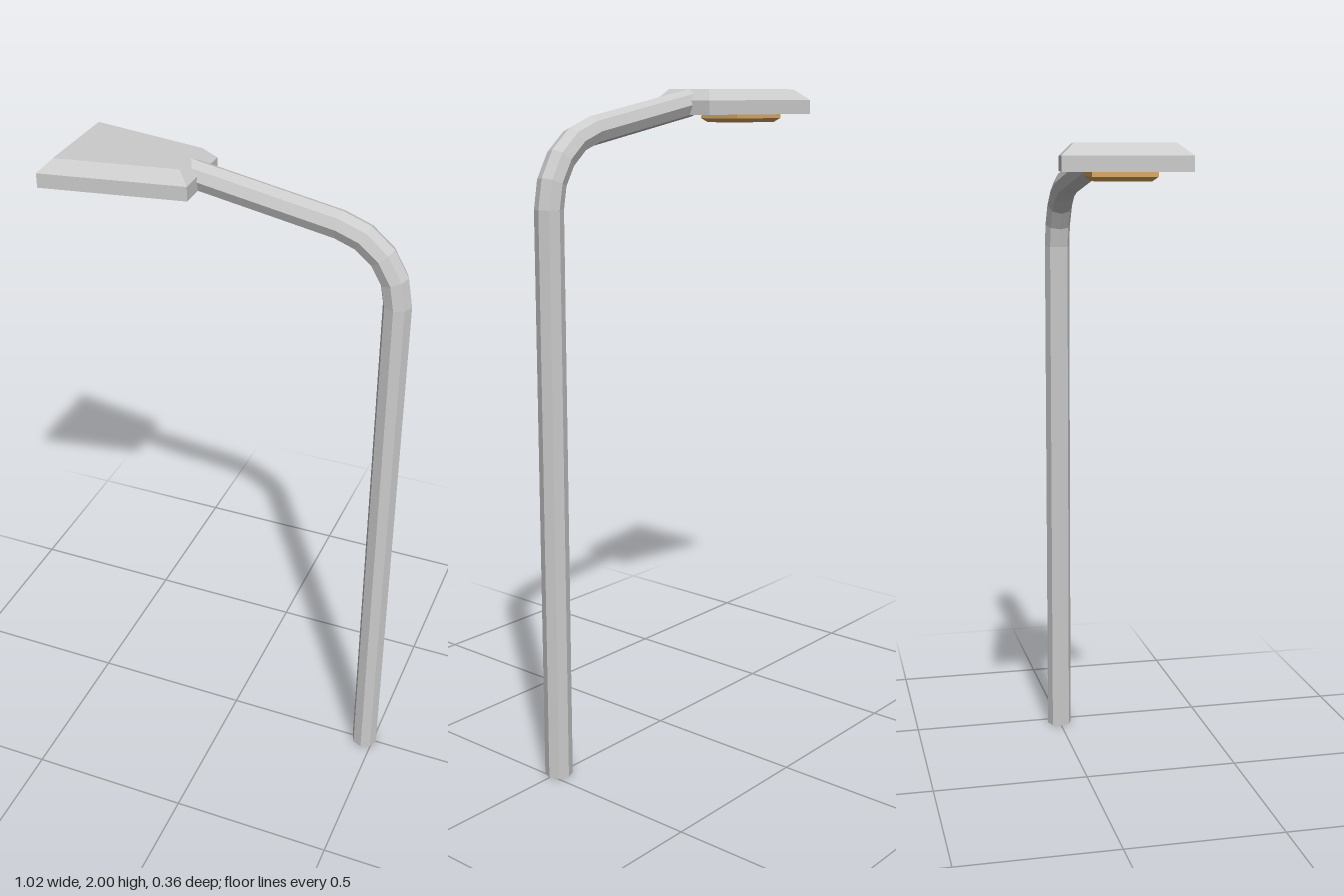
import * as THREE from 'three';

const grey = new THREE.MeshStandardMaterial({ color: 0xcccccc, flatShading: true });
const amber = new THREE.MeshStandardMaterial({ color: 0xd9a866, flatShading: true });

// Closed solid through rings of points, each counter-clockwise about the loft direction
function loft(name, rings, material) {
  const n = rings[0].length, last = (rings.length - 1) * n, index = [];
  for (let i = 0; i < rings.length - 1; i++) {
    for (let j = 0; j < n; j++) {
      const a = i * n + j, b = i * n + (j + 1) % n;
      index.push(a, b, b + n, a, b + n, a + n);
    }
  }
  for (let j = 1; j < n - 1; j++) {
    index.push(0, j + 1, j, last, last + j, last + j + 1);
  }
  const indexed = new THREE.BufferGeometry().setFromPoints(rings.flat());
  indexed.setIndex(index);
  const geometry = indexed.toNonIndexed();
  geometry.computeVertexNormals();
  const mesh = new THREE.Mesh(geometry, material);
  mesh.name = name;
  return mesh;
}

// Octagonal ring around (x, y), facing along a path turned by angle from vertical
function tubeRing(x, y, angle, radius = 0.041, sides = 8) {
  return Array.from({ length: sides }, (_, j) => {
    const t = (j / sides) * Math.PI * 2, out = -radius * Math.cos(t);
    return new THREE.Vector3(x + out * Math.cos(angle), y + out * Math.sin(angle), radius * Math.sin(t));
  });
}

// Tapered four-sided ring at height y, wide at x0 and narrow at x1
function trapezoid(y, x0, x1, z0, z1) {
  return [[x0, z0], [x1, z1], [x1, -z1], [x0, -z0]].map(([x, z]) => new THREE.Vector3(x, y, z));
}

export function createModel() {
  const model = new THREE.Group();
  model.name = 'streetLamp';

  // Pole, four-step bend and gently rising arm
  const poleX = 0.47, bend = 0.21, bendY = 1.677, turn = THREE.MathUtils.degToRad(80);
  const rings = [tubeRing(poleX, 0, 0)];
  for (let i = 0; i <= 4; i++) {
    const a = (turn * i) / 4;
    rings.push(tubeRing(poleX - bend + bend * Math.cos(a), bendY + bend * Math.sin(a), a));
  }
  rings.push(tubeRing(-0.14, 1.96, turn));
  model.add(loft('poleAndArm', rings, grey));

  // Lamp head with bevelled top
  model.add(loft('lampHead', [
    trapezoid(1.925, -0.513, -0.1, 0.178, 0.105),
    trapezoid(1.967, -0.513, -0.1, 0.178, 0.105),
    trapezoid(2.0, -0.48, -0.132, 0.138, 0.077),
  ], grey));

  // Light panel under the head, bevelled at the bottom
  model.add(loft('lightPanel', [
    trapezoid(1.9, -0.463, -0.294, 0.076, 0.056),
    trapezoid(1.912, -0.478, -0.279, 0.09, 0.07),
    trapezoid(1.93, -0.478, -0.279, 0.09, 0.07),
  ], amber));

  return model;
}
